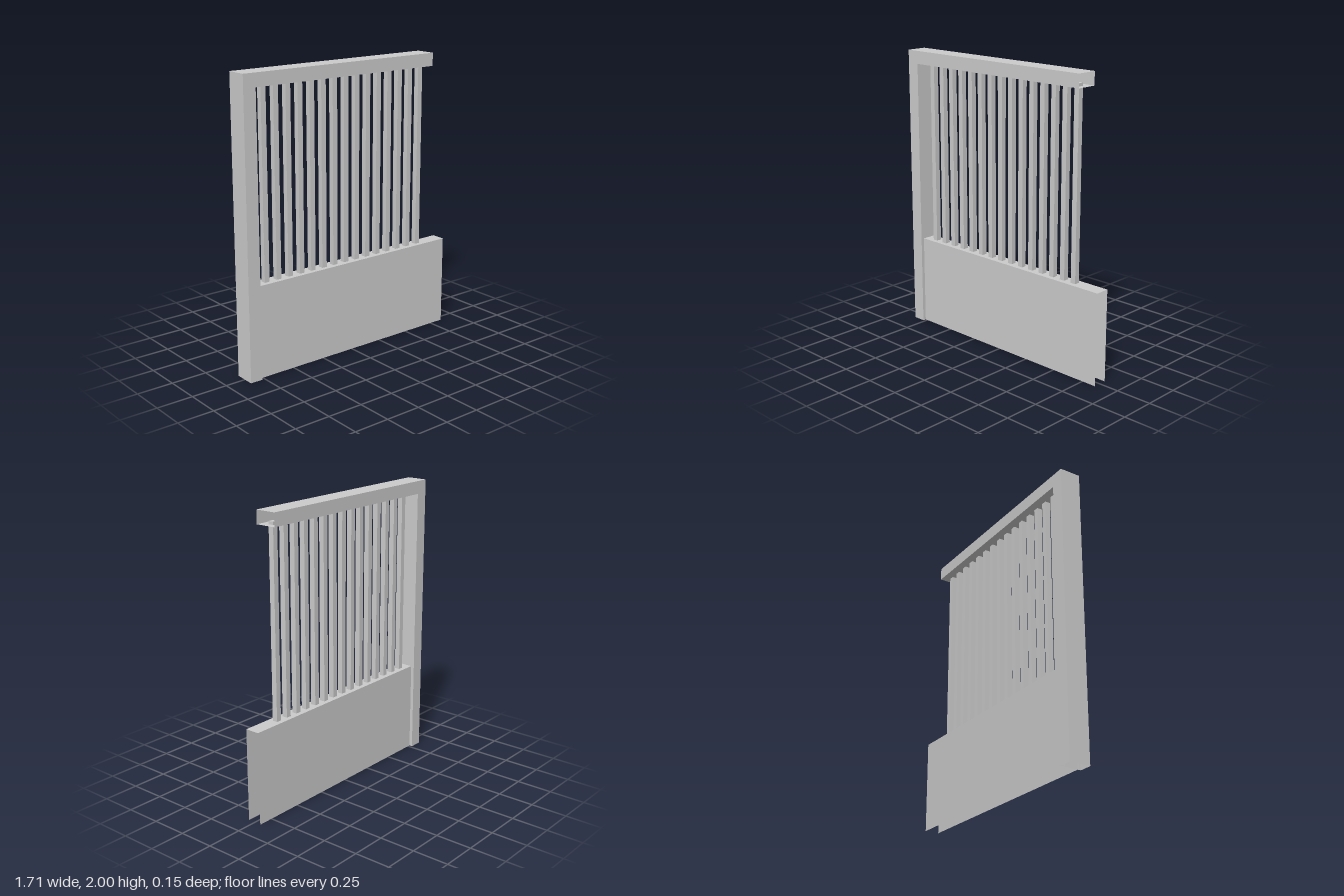
import * as THREE from 'three';

const material = new THREE.MeshStandardMaterial({ color: 0xcccccc, flatShading: true, side: THREE.DoubleSide });

// Thin rectangular strip spanning depth +-d between two points in the xy plane
function strip(name, [x1, y1], [x2, y2], d) {
  const geo = new THREE.PlaneGeometry(Math.hypot(x2 - x1, y2 - y1), 2 * d);
  geo.rotateX(-Math.PI / 2);
  geo.rotateZ(Math.atan2(y2 - y1, x2 - x1));
  geo.translate((x1 + x2) / 2, (y1 + y2) / 2, 0);
  const mesh = new THREE.Mesh(geo, material);
  mesh.name = name;
  return mesh;
}

// Matching front and back sheets of a hollow section
function sheets(name, points, d) {
  const geo = new THREE.ShapeGeometry(new THREE.Shape(points.map(([x, y]) => new THREE.Vector2(x, y))));
  return [1, -1].map((s) => {
    const mesh = new THREE.Mesh(geo, material);
    mesh.name = (s > 0 ? 'front' : 'back') + name;
    mesh.position.z = s * d;
    if (s < 0) {
      mesh.geometry = geo.clone().scale(-1, 1, 1).rotateY(Math.PI);
      mesh.geometry.scale(1, 1, -1);
      mesh.geometry.setIndex([...geo.index.array].reverse());
      mesh.geometry.computeVertexNormals();
    }
    return mesh;
  });
}

export function createModel() {
  const model = new THREE.Group();
  model.name = 'gatePanel';

  // Hollow L-shaped frame: post and top beam, open at both ends
  const L = -0.857, IN = -0.767, R = 0.692, TOP = 2, UNDER = 1.91, D = 0.073;
  const frame = new THREE.Group();
  frame.name = 'frame';
  frame.add(
    ...sheets('FrameSheet', [[L, 0], [IN, 0], [IN, UNDER], [R, UNDER], [R, TOP], [L, TOP]], D),
    strip('postOuterFace', [L, TOP], [L, 0], D),
    strip('postInnerFace', [IN, 0], [IN, UNDER], D),
    strip('beamTop', [R, TOP], [L, TOP], D).rotateX(0),
    strip('beamUnderside', [IN, UNDER], [R, UNDER], D),
  );
  model.add(frame);

  // Lower panel: folded sheet, open at the bottom and the far end
  const P0 = -0.78, P1 = 0.855, PH = 0.635, PD = 0.05;
  const panel = new THREE.Group();
  panel.name = 'lowerPanel';
  panel.add(
    ...sheets('PanelSheet', [[P0, 0], [P1, 0], [P1, PH], [P0, PH]], PD),
    strip('panelTop', [P0, PH], [P1, PH], PD),
  );
  model.add(panel);

  // Row of square bars
  const barGeo = new THREE.BoxGeometry(0.037, 1.33, 0.037);
  const bars = new THREE.Group();
  bars.name = 'bars';
  for (let i = 0; i < 15; i++) {
    const bar = new THREE.Mesh(barGeo, material);
    bar.name = 'bar';
    bar.position.set(-0.677 + i * 0.0932, 1.265, 0);
    bars.add(bar);
  }
  model.add(bars);

  return model;
}
